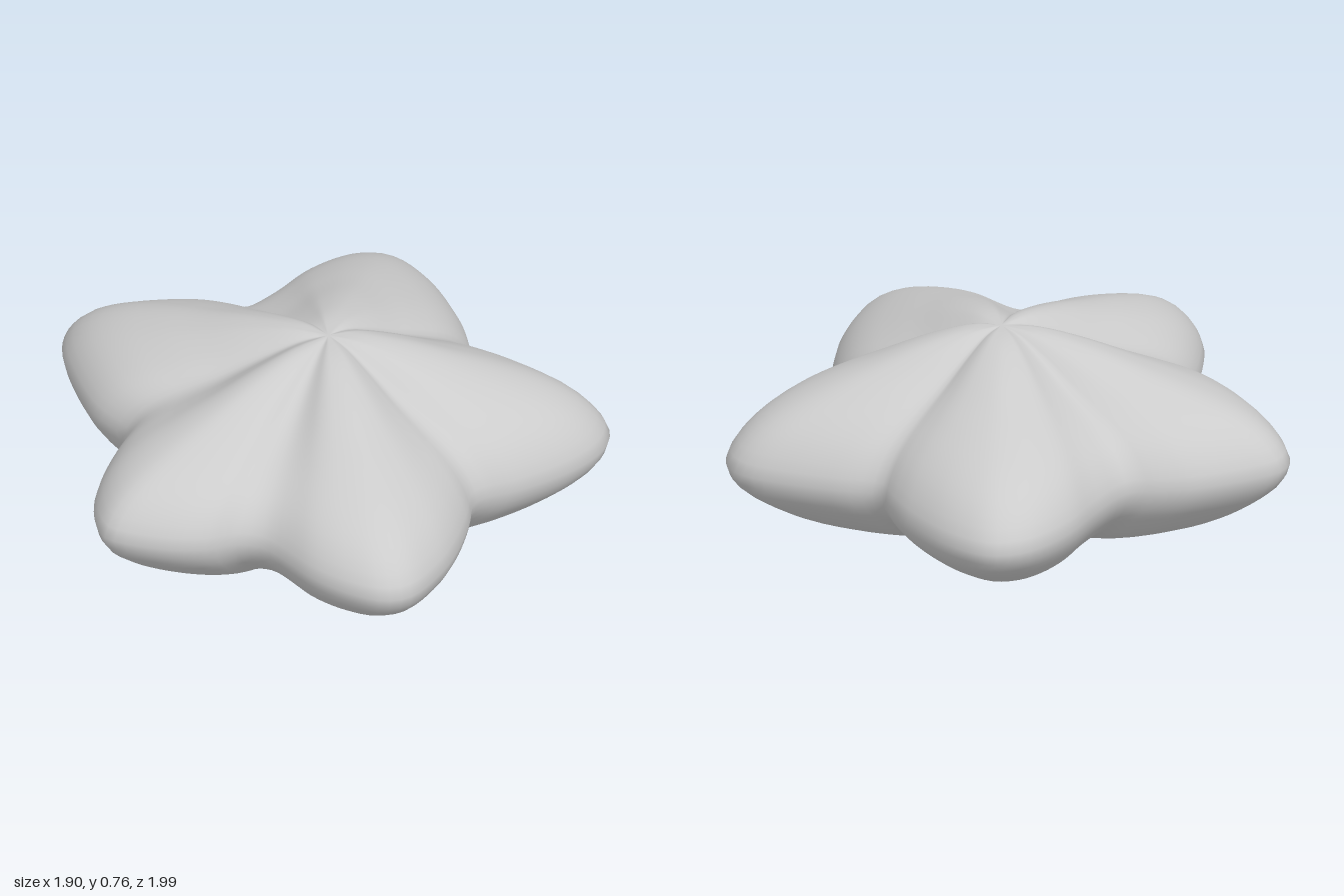
import * as THREE from 'three';

// Rim of the star seen from above, as x, z pairs, starting at the back arm
const RIM = [
  -0.27, -1, -0.18, -0.97, 0.02, -0.86, 0.12, -0.77, 0.19, -0.70, 0.36, -0.71, 0.55, -0.755,
  0.70, -0.76, 0.80, -0.735, 0.885, -0.66, 0.91, -0.49, 0.86, -0.24, 0.80, -0.10, 0.76, -0.02,
  0.83, 0.13, 0.91, 0.33, 0.945, 0.46, 0.935, 0.54, 0.89, 0.60, 0.82, 0.645, 0.70, 0.675,
  0.57, 0.68, 0.44, 0.67, 0.28, 0.645, 0.18, 0.74, 0.05, 0.85, -0.08, 0.93, -0.26, 0.99,
  -0.35, 0.96, -0.42, 0.87, -0.48, 0.72, -0.52, 0.46, -0.59, 0.39, -0.69, 0.36, -0.80, 0.29,
  -0.92, 0.16, -0.95, 0.10, -0.93, 0.02, -0.85, -0.10, -0.71, -0.22, -0.56, -0.32, -0.53, -0.36,
  -0.535, -0.55, -0.46, -0.80, -0.41, -0.90, -0.34, -0.98,
];
// Section from top centre over the rim to bottom centre: [distance, height]
const SECTION = [
  [0, 0.77], [0.13, 0.768], [0.3, 0.73], [0.5, 0.665], [0.65, 0.615], [0.8, 0.555], [0.9, 0.495],
  [0.965, 0.43], [1, 0.36], [0.97, 0.29], [0.88, 0.21], [0.72, 0.115], [0.5, 0.04], [0.25, 0.008], [0, 0.035],
];
const AROUND = 160, RINGS = 48;

function puffyStarGeometry() {
  const rimPoints = [];
  for (let i = 0; i < RIM.length; i += 2) rimPoints.push(new THREE.Vector3(RIM[i], 0, RIM[i + 1]));
  const rim = new THREE.CatmullRomCurve3(rimPoints, true).getSpacedPoints(AROUND);
  const section = new THREE.CatmullRomCurve3(SECTION.map(([t, y]) => new THREE.Vector3(t, y, 0)))
    .getSpacedPoints(RINGS);

  const positions = [], index = [];
  section.forEach(({ x: t, y }, j) => {
    const cx = 0.1 * (1 - j / RINGS); // the peak sits a little off centre
    for (let i = 0; i < AROUND; i++) {
      const { x, z } = rim[i];
      // valleys between the arms sink slightly on top; the rim tilts gently
      const valley = THREE.MathUtils.smoothstep(0.95 - Math.hypot(x, z), 0, 0.35);
      const dip = y > 0.4 ? -0.04 * valley * Math.sin(Math.PI * t) : 0.02 * valley * Math.sin(Math.PI * t);
      const tilt = t * t * (-0.03 * x - 0.015 * z);
      positions.push(cx + (x - cx) * t, Math.max(0, y + dip + tilt), z * t);
      if (j < RINGS) {
        const a = j * AROUND + i, b = j * AROUND + (i + 1) % AROUND;
        if (j < RINGS - 1) index.push(a, b + AROUND, a + AROUND);
        else index.push(a, b, RINGS * AROUND); // bottom centre
        if (j > 0 && j < RINGS - 1) index.push(a, b, b + AROUND);
      }
    }
  });
  // the top fan shares one centre vertex
  for (let i = 0; i < AROUND; i++) index[i * 3] = 0;

  const geometry = new THREE.BufferGeometry();
  geometry.setAttribute('position', new THREE.Float32BufferAttribute(positions, 3));
  geometry.setIndex(index);
  geometry.computeVertexNormals();
  return geometry;
}

export function createModel() {
  const group = new THREE.Group();
  group.name = 'puffyStar';
  const body = new THREE.Mesh(puffyStarGeometry(), new THREE.MeshStandardMaterial({ color: 0xcccccc }));
  body.name = 'starBody';
  group.add(body);
  return group;
}
